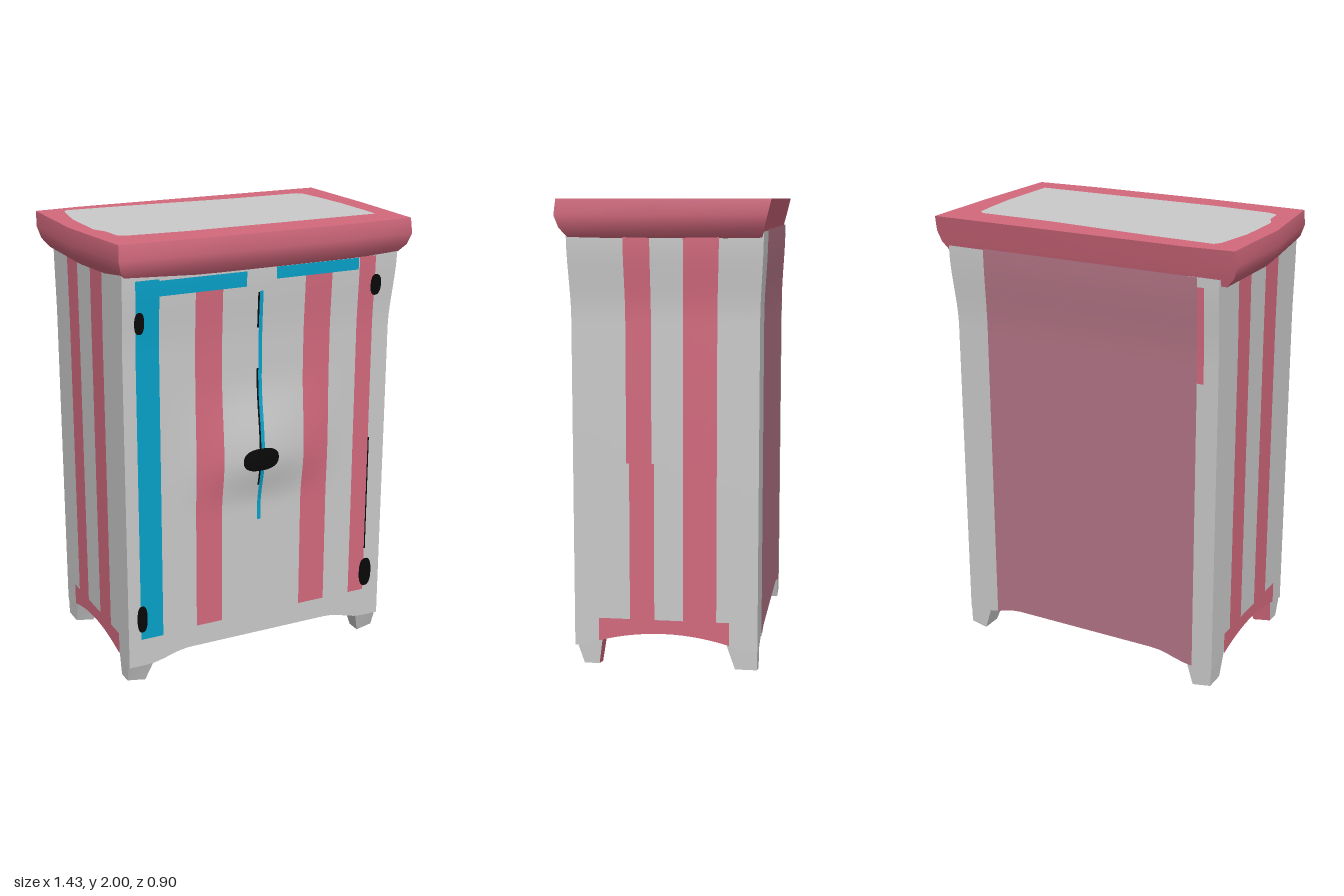
import * as THREE from 'three';
import { toCreasedNormals } from 'three/addons/utils/BufferGeometryUtils.js';

const makeMat = (name, color) => {
  const m = new THREE.MeshStandardMaterial({ color });
  m.name = name;
  return m;
};

// Geometry from a rule f(s, t) -> [x, y, z]; s runs to the right, t up, seen from outside
function grid(f, ns, nt) {
  const pos = [], idx = [];
  for (let j = 0; j <= nt; j++) for (let i = 0; i <= ns; i++) pos.push(...f(i / ns, j / nt));
  for (let j = 0; j < nt; j++) for (let i = 0; i < ns; i++) {
    const a = j * (ns + 1) + i, b = a + 1, c = a + ns + 1, d = c + 1;
    idx.push(a, b, d, a, d, c);
  }
  const g = new THREE.BufferGeometry();
  g.setAttribute('position', new THREE.Float32BufferAttribute(pos, 3));
  g.setIndex(idx);
  g.computeVertexNormals();
  return g;
}

// Stack of closed outlines with caps; levels are [y, scaleX, scaleZ, shiftZ]
function loft(outline, levels) {
  const pos = [], idx = [], n = outline.length, L = levels.length;
  for (const [y, sx, sz, dz] of levels) for (const [x, z] of outline) pos.push(x * sx, y, z * sz + dz);
  pos.push(0, levels[0][0], 0, 0, levels[L - 1][0], 0);
  for (let i = 0; i < n; i++) {
    const k = (i + 1) % n, t = (L - 1) * n;
    for (let j = 0; j < L - 1; j++) {
      const a = j * n + i, b = j * n + k;
      idx.push(a, b, b + n, a, b + n, a + n);
    }
    idx.push(L * n, k, i, L * n + 1, t + i, t + k);
  }
  const g = new THREE.BufferGeometry();
  g.setAttribute('position', new THREE.Float32BufferAttribute(pos, 3));
  g.setIndex(idx);
  return toCreasedNormals(g, 0.6);
}

// Shape rules of the cabinet body
const XL = -0.64, XR = 0.63, ZF = 0.385, ZB = -0.40, TOP = 1.87;
const ss = THREE.MathUtils.smoothstep;
const flare = y => ss(y, 1.5, 1.85);
const wide = (x, y) => x + 0.025 * flare(y) * ss(x, 0.55, XR);
const deep = y => 1 + 0.035 * flare(y);
const bell = (d, r) => (Math.abs(d) < r ? 0.5 + 0.5 * Math.cos(Math.PI * d / r) : 0);
const bulge = (x, y) => 0.038 * bell(x, 0.45) * bell(y - 1, y > 1 ? 0.38 : 0.24);
const archX = x => 0.14 - 0.04 * ss(Math.abs(x), 0.35, 0.55);
const archZ = z => Math.max(0.10, 0.165 - 0.04 * (z / 0.28) ** 2);

const sides = {
  front: { at: (u, y, o) => [wide(u, y), y, ZF * deep(y) + bulge(u, y) + o], low: archX, flip: false },
  back: { at: (u, y, o) => [wide(u, y), y, ZB * deep(y) - o], low: archX, flip: true },
  right: { at: (u, y, o) => [wide(XR, y) + o, y, u * deep(y)], low: archZ, flip: true },
  left: { at: (u, y, o) => [XL - o, y, u * deep(y)], low: archZ, flip: false },
};

export function createModel() {
  const root = new THREE.Group();
  root.name = 'wardrobe';
  const grey = makeMat('light grey', 0xcacaca);
  const pink = makeMat('rose pink', 0xd3697d);
  const mauve = makeMat('dusty mauve', 0xb27485);
  const blue = makeMat('blue', 0x06a2ca);
  const black = makeMat('black', 0x080808);

  const add = (name, geo, mat) => {
    const m = new THREE.Mesh(geo, mat);
    m.name = name;
    root.add(m);
    return m;
  };

  // A patch on one side; y0 = null follows the arched lower edge
  const patch = (name, side, mat, u0, u1, y0, y1, off = 0.004) => {
    const { at, low, flip } = sides[side];
    const f = (s, t) => {
      const u = flip ? u1 + (u0 - u1) * s : u0 + (u1 - u0) * s;
      const b = y0 === null ? low(u) : y0;
      return at(u, b + (y1 - b) * t, off);
    };
    add(name, grid(f, Math.max(1, Math.ceil((u1 - u0) * 24)), Math.max(2, Math.ceil((y1 - (y0 ?? 0)) * 28))), mat);
  };

  // Body walls
  patch('frontWall', 'front', grey, XL, XR, null, TOP, 0);
  patch('backWall', 'back', grey, XL, XR, null, TOP, 0);
  patch('rightWall', 'right', grey, ZB, ZF, null, TOP, 0);
  patch('leftWall', 'left', grey, ZB, ZF, null, TOP, 0);

  // Door stripes
  patch('doorStripeLeft', 'front', pink, -0.315, -0.19, 0.24, 1.765);
  patch('doorStripeRight', 'front', pink, 0.2, 0.33, 0.24, 1.785);
  patch('doorEdgeStripe', 'front', pink, 0.465, 0.545, 0.24, 1.84);
  patch('blueEdgeStripe', 'front', blue, -0.583, -0.478, 0.23, 1.837);
  patch('blueTopStripe', 'front', blue, -0.478, -0.08, 1.765, 1.83);
  patch('blueTopStripe', 'front', blue, 0.06, 0.46, 1.785, 1.837);

  // Gaps around the doors
  patch('doorGap', 'front', black, -0.026, -0.018, 0.87, 1.4);
  patch('doorGap', 'front', black, -0.026, -0.018, 1.58, 1.735);
  patch('doorGapBlue', 'front', blue, -0.018, -0.001, 0.7, 1.74);
  patch('hingeGap', 'front', black, 0.545, 0.551, 0.45, 1.0);

  // Back panel and the small edge strip beside it
  patch('backPanel', 'back', mauve, -0.545, 0.475, null, TOP);
  patch('backEdgeStrip', 'back', pink, -0.575, -0.545, 1.42, 1.83);

  // Side stripes and lower bands
  patch('rightFrontStripe', 'right', pink, 0.05, 0.157, 0.9, TOP);
  patch('rightFrontStripe', 'right', pink, 0.04, 0.145, 0.22, 0.9);
  patch('rightBackStripe', 'right', pink, -0.225, -0.083, 0.22, TOP);
  patch('leftFrontStripe', 'left', pink, 0.05, 0.18, 0.22, TOP);
  patch('leftBackStripe', 'left', pink, -0.22, -0.1, 0.22, TOP);
  for (const s of ['right', 'left']) patch(s + 'Band', s, pink, -0.28, 0.28, null, 0.225, 0.005);

  // Hollow underside with stripes
  const under = (x0, x1, z0, z1, o) => grid((s, t) => {
    const x = x0 + (x1 - x0) * s, z = z0 + (z1 - z0) * t;
    return [x, archX(x) + archZ(z) - 0.10 - o, z];
  }, 28, Math.ceil((z1 - z0) * 28));
  add('underside', under(XL, XR, ZB, ZF, 0), mauve);
  for (const [a, b] of [[-0.35, -0.24], [-0.08, 0.04], [0.16, 0.25]])
    add('undersideStripe', under(-0.45, 0.45, a, b, 0.006), grey);

  // Feet: tapered blocks, the front pair pink behind
  for (const sx of [-1, 1]) for (const sz of [-1, 1]) {
    const g = new THREE.BoxGeometry(1, 1, 1), p = g.attributes.position;
    const ox = sx > 0 ? XR : -XL, oz = sz > 0 ? ZF : -ZB;
    for (let i = 0; i < p.count; i++) {
      const top = p.getY(i) > 0, outX = p.getX(i) * sx > 0, outZ = p.getZ(i) * sz > 0;
      const x = outX ? ox - (top ? 0.001 : 0.004) : top ? 0.51 : 0.55;
      const z = outZ ? (!top && sz > 0 ? 0.345 : oz - 0.001) : top ? 0.265 : sz > 0 ? 0.28 : 0.305;
      p.setXYZ(i, sx * x, top ? 0.135 : outX ? 0.02 : 0.005, sz * z);
    }
    g.computeVertexNormals();
    add('foot', g, [grey, grey, grey, grey, grey, sz > 0 ? pink : grey]);
  }

  // Overhanging top slab
  add('topSlab', loft(
    [[-0.66, 0.425], [-0.2, 0.443], [0.4, 0.443], [0.698, 0.43], [0.705, 0], [0.698, -0.447],
      [-0.5, -0.447], [-0.71, -0.43], [-0.713, 0]],
    [[1.838, 0.935, 0.91, 0], [1.88, 0.985, 0.958, 0.01], [1.93, 1.006, 0.991, 0.012], [1.996, 1, 1, 0]]), pink);

  // Grey inlay on the slab
  const inlay = new THREE.Shape([[-0.6, 0.255], [-0.56, 0.28], [-0.3, 0.3], [0.6, 0.3], [0.597, 0], [0.58, -0.18],
    [0.565, -0.29], [0.54, -0.315], [0.2, -0.318], [-0.3, -0.355], [-0.59, -0.367], [-0.61, -0.34], [-0.64, -0.15],
    [-0.64, 0.1], [-0.61, 0.16]].map(([x, z]) => new THREE.Vector2(x, -z)));
  add('topInlay', new THREE.ShapeGeometry(inlay).rotateX(-Math.PI / 2), grey).position.y = 2;

  // Knob and hinges: rounded plates that follow the doors
  const plate = (name, x, y, rx, ry) => add(name, grid((s, t) => {
    const a = -2 * Math.PI * s, c = Math.cos(a), d = Math.sin(a);
    const round = v => Math.sign(v) * Math.abs(v) ** 0.8;
    return sides.front.at(x + rx * t * round(c), y + ry * t * round(d), 0.008);
  }, 28, 4), black);
  plate('knob', -0.018, 0.995, 0.085, 0.052);
  plate('hinge', -0.568, 1.66, 0.022, 0.047);
  plate('hinge', -0.577, 0.33, 0.024, 0.063);
  plate('hinge', 0.548, 1.71, 0.025, 0.047);
  plate('hinge', 0.552, 0.33, 0.032, 0.07);

  return root;
}
